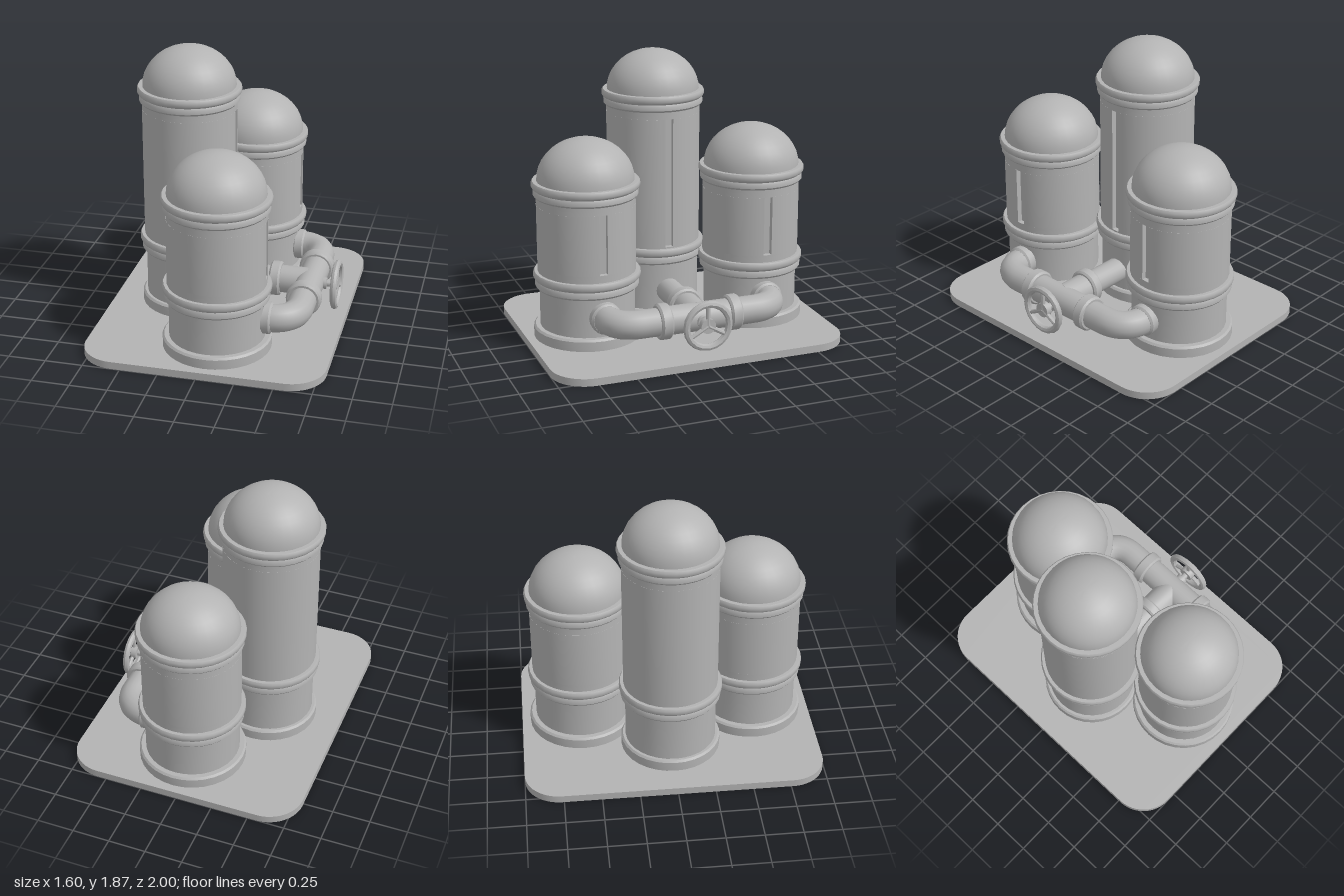
import * as THREE from 'three';
import { toCreasedNormals } from 'three/addons/utils/BufferGeometryUtils.js';

const PIPE_Y = 0.26;

export function createModel() {
  const model = new THREE.Group();
  model.name = 'tankStation';
  const steel = new THREE.MeshStandardMaterial({ color: 0xb3b3b3 });
  steel.name = 'grey steel';

  function add(parent, name, geometry, x = 0, y = 0, z = 0) {
    const mesh = new THREE.Mesh(toCreasedNormals(geometry, 0.6), steel);
    mesh.name = name;
    mesh.position.set(x, y, z);
    parent.add(mesh);
    return mesh;
  }

  const lathe = (pairs, sides = 32) =>
    new THREE.LatheGeometry(pairs.map(([r, y]) => new THREE.Vector2(r, y)), sides);

  // Cylinder lying along x or z, with softened rims for collars
  function rod(name, axis, r, from, to, a, b, parent = model) {
    const g = new THREE.CylinderGeometry(r, r, to - from, 20);
    const mid = (from + to) / 2;
    if (axis === 'x') {
      g.rotateZ(-Math.PI / 2);
      return add(parent, name, g, mid, a, b);
    }
    g.rotateX(Math.PI / 2);
    return add(parent, name, g, a, b, mid);
  }
  function collar(name, axis, r, from, to, a, b) {
    const c = 0.012;
    const g = lathe([[0, from], [r - c, from], [r, from + c], [r, to - c], [r - c, to], [0, to]], 20);
    if (axis === 'x') {
      g.rotateZ(-Math.PI / 2);
      return add(model, name, g, 0, a, b);
    }
    g.rotateX(Math.PI / 2);
    return add(model, name, g, a, b, 0);
  }

  // Base plate with rounded corners
  const w = 0.8, d = 1, k = 0.235;
  const plate = new THREE.Shape();
  plate.moveTo(-w + k, -d);
  plate.lineTo(w - k, -d);
  plate.absarc(w - k, -d + k, k, -Math.PI / 2, 0);
  plate.absarc(w - k, d - k, k, 0, Math.PI / 2);
  plate.absarc(-w + k, d - k, k, Math.PI / 2, Math.PI);
  plate.absarc(-w + k, -d + k, k, Math.PI, Math.PI * 1.5);
  const baseGeometry = new THREE.ExtrudeGeometry(plate, { depth: 0.05, bevelEnabled: false, curveSegments: 6 });
  add(model, 'basePlate', baseGeometry.rotateX(-Math.PI / 2));

  // Double ring band: narrow lower ring, wide upper ring
  function band(tank, name, r, y, h) {
    const p = [[-0.03, 0], [0.008, 0], [0.019, 0.12], [0.019, 0.35], [0.012, 0.48],
      [0.024, 0.56], [0.03, 0.66], [0.03, 0.88], [0.022, 1], [-0.03, 1]];
    add(tank, name, lathe(p.map(([dr, t]) => [r + dr, y + t * h])));
  }

  // Tank with a recessed sight slot on its +x side
  function makeTank(name, x, z, t) {
    const tank = new THREE.Group();
    tank.name = name;
    tank.position.set(x, 0, z);
    model.add(tank);
    const { r } = t;

    const f = t.flange;
    add(tank, 'footFlange', lathe([[0, 0.04], [f, 0.04], [f, 0.115], [f - 0.012, 0.128], [r - 0.03, 0.128]]));
    const wall = (part, radius, y0, y1) =>
      add(tank, part, new THREE.CylinderGeometry(radius, radius, y1 - y0, 32), 0, (y0 + y1) / 2, 0);
    wall('lowerWall', r - 0.01, 0.1, t.band1 + 0.05);
    wall('wallBelowSlot', r, t.band1 + 0.05, t.slot0);
    wall('wallAboveSlot', r, t.slot1, t.band2 + 0.05);

    const half = 0.028, angle = Math.asin(half / r), depth = 0.035;
    const notched = new THREE.Shape();
    const edge = t.slotZ;
    const a0 = Math.asin((edge + half) / r), a1 = Math.asin((edge - half) / r);
    notched.absarc(0, 0, r, a0, a1 + Math.PI * 2);
    notched.lineTo(r * Math.cos(angle) - depth, edge - half);
    notched.lineTo(r * Math.cos(angle) - depth, edge + half);
    const slotted = new THREE.ExtrudeGeometry(notched,
      { depth: t.slot1 - t.slot0, bevelEnabled: false, curveSegments: 32 });
    add(tank, 'slottedWall', slotted.rotateX(-Math.PI / 2), 0, t.slot0, 0);

    band(tank, 'lowerBand', r, t.band1, 0.11);
    band(tank, 'upperBand', r, t.band2, 0.105);

    // Domed lid
    const springY = t.band2 + 0.1, dome = [[r - 0.005, springY - 0.02]];
    for (let i = 0; i <= 10; i++) {
      const a = (i / 10) * Math.PI / 2;
      dome.push([i === 10 ? 0 : (r - 0.005) * Math.cos(a), springY + (t.top - springY) * Math.sin(a)]);
    }
    add(tank, 'domeLid', lathe(dome));
  }

  makeTank('tallTank', -0.285, 0,
    { r: 0.315, flange: 0.335, band1: 0.45, band2: 1.5, slot0: 0.57, slot1: 1.45, slotZ: 0, top: 1.87 });
  for (const s of [1, -1]) {
    makeTank(s > 0 ? 'frontTank' : 'rearTank', 0.042, s * 0.585,
      { r: 0.325, flange: 0.358, band1: 0.39, band2: 1.005, slot0: 0.55, slot1: 0.95, slotZ: s * 0.013, top: 1.385 });

    // Elbow from each short tank to the tee
    const path = new THREE.CurvePath();
    const P = (x, z) => new THREE.Vector3(x, PIPE_Y, s * z);
    path.add(new THREE.LineCurve3(P(0.3, 0.565), P(0.38, 0.565)));
    path.add(new THREE.CubicBezierCurve3(P(0.38, 0.565), P(0.48, 0.565), P(0.548, 0.5), P(0.548, 0.39)));
    path.add(new THREE.LineCurve3(P(0.548, 0.39), P(0.548, 0.24)));
    add(model, 'elbowPipe', new THREE.TubeGeometry(path, 28, 0.092, 16, false));
    collar('tankCollar', 'x', 0.105, 0.33, 0.405, PIPE_Y, s * 0.565);
    collar('teeCollar', 'z', 0.118, s > 0 ? 0.2 : -0.28, s > 0 ? 0.28 : -0.2, 0.548, PIPE_Y);
  }

  // Tee joint and pipe to the tall tank
  rod('teeBody', 'z', 0.094, -0.21, 0.21, 0.548, PIPE_Y);
  rod('middlePipe', 'x', 0.083, 0, 0.34, PIPE_Y, 0);
  rod('teeBranch', 'x', 0.094, 0.34, 0.53, PIPE_Y, 0);
  collar('middleCollar', 'x', 0.118, 0.275, 0.35, PIPE_Y, 0);

  // Valve wheel on its stem, facing +x
  rod('valveStem', 'x', 0.022, 0.6, 0.72, PIPE_Y, 0);
  rod('stemGland', 'x', 0.04, 0.62, 0.66, PIPE_Y, 0);
  const wheel = new THREE.Group();
  wheel.name = 'valveWheel';
  wheel.position.set(0.726, PIPE_Y, 0);
  model.add(wheel);
  add(wheel, 'wheelRim', new THREE.TorusGeometry(0.146, 0.023, 8, 20).rotateY(Math.PI / 2));
  rod('wheelHub', 'x', 0.05, -0.03, 0.012, 0, 0, wheel);
  for (let i = 0; i < 3; i++) {
    const spoke = new THREE.CylinderGeometry(0.014, 0.016, 0.14, 8);
    spoke.translate(0, 0.075, 0).rotateX((i * Math.PI * 2) / 3);
    add(wheel, 'wheelSpoke', spoke);
  }
  return model;
}
